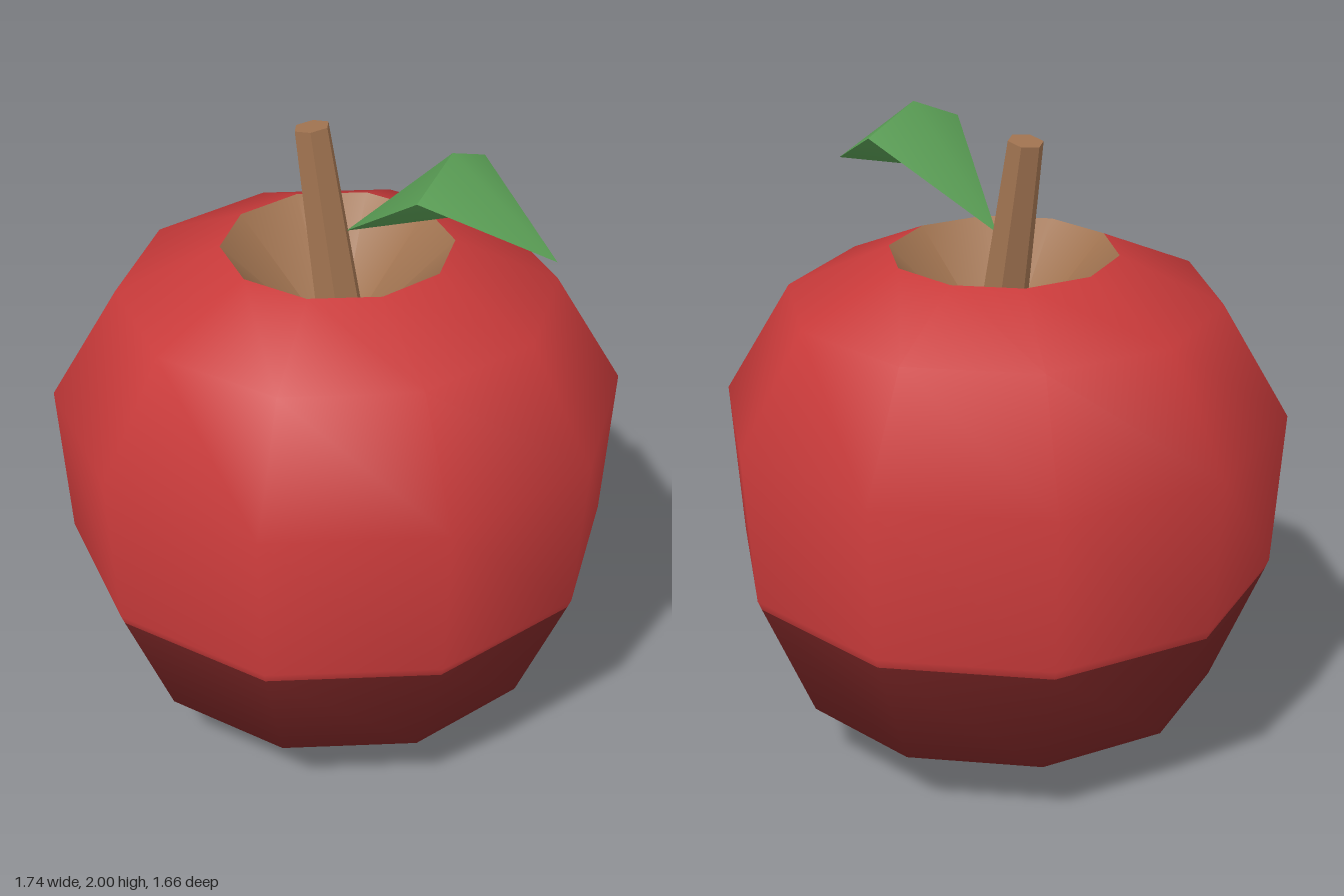
import * as THREE from 'three';

const material = (name, color, side = THREE.FrontSide) => {
  const m = new THREE.MeshStandardMaterial({ color, side });
  m.name = name;
  return m;
};

const SIDES = 10;

function lathe(profile) {
  const points = profile.map(([r, y]) => new THREE.Vector2(r, y));
  return new THREE.LatheGeometry(points, SIDES, Math.PI / 2);
}

export function createModel() {
  const red = material('apple red', 0xc83a3a);
  const darkRed = material('dark red', 0x7c2626);
  const brown = material('brown', 0xa07350);
  const green = material('leaf green', 0x5a9e55);

  const model = new THREE.Group();
  model.name = 'apple';
  const add = (name, geometry, mat) => {
    const mesh = new THREE.Mesh(geometry, mat);
    mesh.name = name;
    model.add(mesh);
    return mesh;
  };

  // Skin: one smooth ten-sided lathe, dark below y = 0.6
  const skinProfile = [
    [0, 0.06], [0.28, 0], [0.665, 0.21], [0.828, 0.6], [0.84, 0.63],
    [0.872, 1.12], [0.665, 1.47], [0.35, 1.61],
  ];
  const skin = lathe(skinProfile);
  const steps = skinProfile.length - 1;
  const darkSteps = 3;
  for (let i = 0; i < SIDES; i++) {
    const start = i * steps * 6;
    skin.addGroup(start, darkSteps * 6, 0);
    skin.addGroup(start + darkSteps * 6, (steps - darkSteps) * 6, 1);
  }
  add('skin', skin, [darkRed, red]);

  // Hollow around the stem
  add('stemHollow', lathe([[0.35, 1.61], [0, 1.25]]), brown);

  // Stem: leaning, tapered hexagon
  const bottom = new THREE.Vector3(0.03, 1.24, 0);
  const top = new THREE.Vector3(-0.09, 1.965, 0);
  const axis = top.clone().sub(bottom);
  const stemGeometry = new THREE.CylinderGeometry(0.055, 0.08, axis.length(), 6, 1);
  stemGeometry.rotateY(Math.PI / 2);
  const stemMaterial = brown;
  const stem = add('stem', stemGeometry.toNonIndexed(), stemMaterial);
  stem.geometry.computeVertexNormals();
  stem.position.copy(bottom).add(top).multiplyScalar(0.5);
  stem.quaternion.setFromUnitVectors(new THREE.Vector3(0, 1, 0), axis.normalize());

  // Leaf: bent diamond, four panels each folded softly along the middle
  const base = [0.03, 1.66, 0];
  const tip = [0.725, 1.755, 0];
  const ridge = [0.38, 2.0, 0];
  const keel = [0.38, 1.8, 0];
  const front = [0.38, 1.92, 0.19];
  const back = [0.38, 1.92, -0.19];
  const leaf = new THREE.Group();
  leaf.name = 'leaf';
  const panel = (name, end, a, middle, b) => {
    const g = new THREE.BufferGeometry();
    g.setAttribute('position', new THREE.Float32BufferAttribute([end, a, middle, b].flat(), 3));
    g.setIndex([0, 1, 2, 0, 2, 3]);
    g.computeVertexNormals();
    const mesh = new THREE.Mesh(g, green);
    mesh.name = name;
    leaf.add(mesh);
  };
  panel('leafTopInner', base, front, ridge, back);
  panel('leafTopOuter', tip, back, ridge, front);
  panel('leafUnderInner', base, back, keel, front);
  panel('leafUnderOuter', tip, front, keel, back);
  model.add(leaf);

  return model;
}
